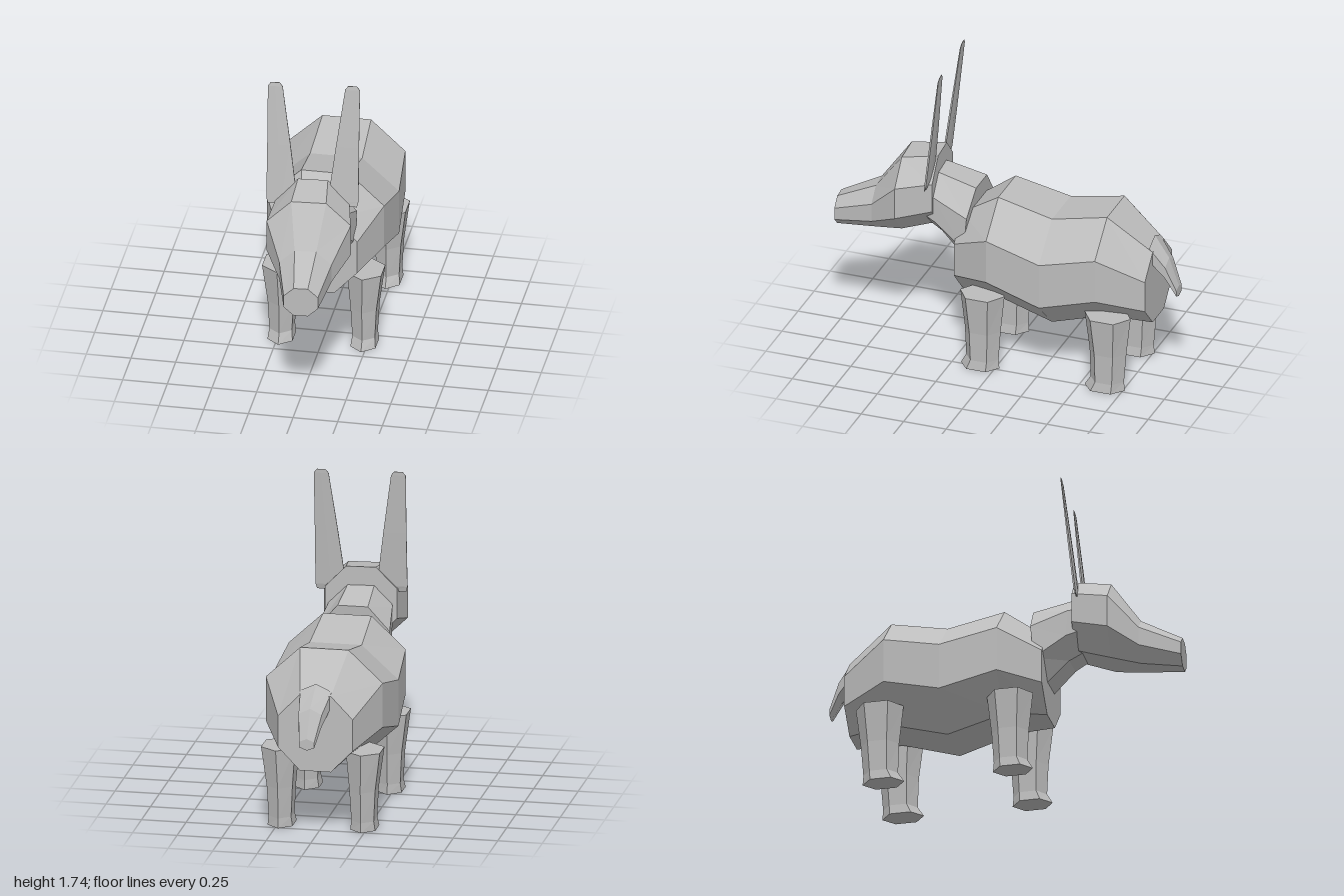
import * as THREE from 'three';

const hide = new THREE.MeshStandardMaterial({ color: 0xbcbcbc, flatShading: true });
hide.name = 'greyHide';

// One ring: centre, half width, half height, and lean of its plane (0 upright, -PI/2 lying flat)
function ring(sides, [cx, cy, cz, rx, ry, tilt = 0]) {
  const angles = Array.from({ length: sides }, (_, k) => ((k + 0.5) / sides) * Math.PI * 2);
  const mx = Math.max(...angles.map((a) => Math.abs(Math.cos(a))));
  const my = Math.max(...angles.map((a) => Math.abs(Math.sin(a))));
  return angles.map((a) => {
    const u = (ry * Math.sin(a)) / my;
    return [cx + (rx * Math.cos(a)) / mx, cy + u * Math.cos(tilt), cz + u * Math.sin(tilt)];
  });
}

// Skin a row of rings and close both ends
function loft(name, sides, specs) {
  const rings = specs.map((s) => ring(sides, s));
  const pos = [];
  const tri = (...p) => p.forEach((v) => pos.push(...v));
  for (let i = 0; i < rings.length - 1; i++) {
    const a = rings[i], b = rings[i + 1];
    for (let k = 0; k < sides; k++) {
      const n = (k + 1) % sides;
      tri(a[k], a[n], b[n]);
      tri(a[k], b[n], b[k]);
    }
  }
  const first = rings[0], last = rings[rings.length - 1];
  for (let k = 1; k < sides - 1; k++) {
    tri(first[0], first[k + 1], first[k]);
    tri(last[0], last[k], last[k + 1]);
  }
  const geo = new THREE.BufferGeometry();
  geo.setAttribute('position', new THREE.Float32BufferAttribute(pos, 3));
  geo.computeVertexNormals();
  const mesh = new THREE.Mesh(geo, hide);
  mesh.name = name;
  return mesh;
}

export function createModel() {
  const model = new THREE.Group();
  model.name = 'animal';
  const flat = -Math.PI / 2;

  // Barrel body, rump to chest
  model.add(loft('body', 8, [
    [0, 0.593, -0.87, 0.21, 0.218],
    [0, 0.7, -0.62, 0.328, 0.306],
    [0, 0.62, -0.3, 0.352, 0.32],
    [0, 0.703, 0.02, 0.328, 0.308],
    [0, 0.62, 0.25, 0.22, 0.235],
  ]));

  // Neck, running into the head
  model.add(loft('neck', 8, [
    [0, 0.78, 0.19, 0.205, 0.235, -0.085],
    [0, 0.885, 0.38, 0.18, 0.18, 0.05],
    [0.01, 0.93, 0.52, 0.15, 0.15, 0.15],
  ]));

  // Tail, tip to root
  model.add(loft('tail', 6, [
    [0.022, 0.565, -1.0, 0.042, 0.033],
    [0.015, 0.69, -0.94, 0.065, 0.065],
    [0, 0.79, -0.85, 0.088, 0.082],
  ]));

  // Head with ears, turned slightly to its left about the nape
  const head = new THREE.Group();
  head.name = 'head';
  head.position.z = 0.4;
  head.rotation.y = 0.07;
  head.add(loft('skull', 8, [
    [0, 0.967, 0, 0.2, 0.205],
    [0, 0.917, 0.205, 0.233, 0.222],
    [0, 0.792, 0.365, 0.145, 0.128],
    [0, 0.725, 0.593, 0.095, 0.085],
  ]));
  for (const s of [-1, 1]) {
    head.add(loft(s > 0 ? 'leftEar' : 'rightEar', 6, [
      [s * 0.165, 1.03, 0.03, 0.082, 0.005, flat],
      [s * 0.17, 1.06, 0.024, 0.085, 0.009, flat],
      [s * 0.19, 1.38, -0.012, 0.064, 0.009, flat],
      [s * 0.214, 1.72, -0.05, 0.041, 0.004, flat],
      [s * 0.214, 1.742, -0.053, 0.024, 0.002, flat],
    ]));
  }
  model.add(head);

  // Legs, hoof to shoulder; hooves flare forward
  for (const s of [-1, 1]) {
    const side = s > 0 ? 'Left' : 'Right';
    model.add(loft('front' + side + 'Leg', 6, [
      [s * 0.232, 0, 0.09, 0.07, 0.113, flat],
      [s * 0.232, 0.055, 0.077, 0.063, 0.095, flat],
      [s * 0.232, 0.23, 0.075, 0.072, 0.105, flat],
      [s * 0.238, 0.455, 0.075, 0.095, 0.13, flat],
    ]));
    model.add(loft('back' + side + 'Leg', 6, [
      [s * 0.232, 0, -0.643, 0.07, 0.118, flat],
      [s * 0.232, 0.055, -0.658, 0.063, 0.098, flat],
      [s * 0.232, 0.23, -0.662, 0.072, 0.108, flat],
      [s * 0.238, 0.455, -0.662, 0.095, 0.135, flat],
    ]));
  }
  return model;
}
